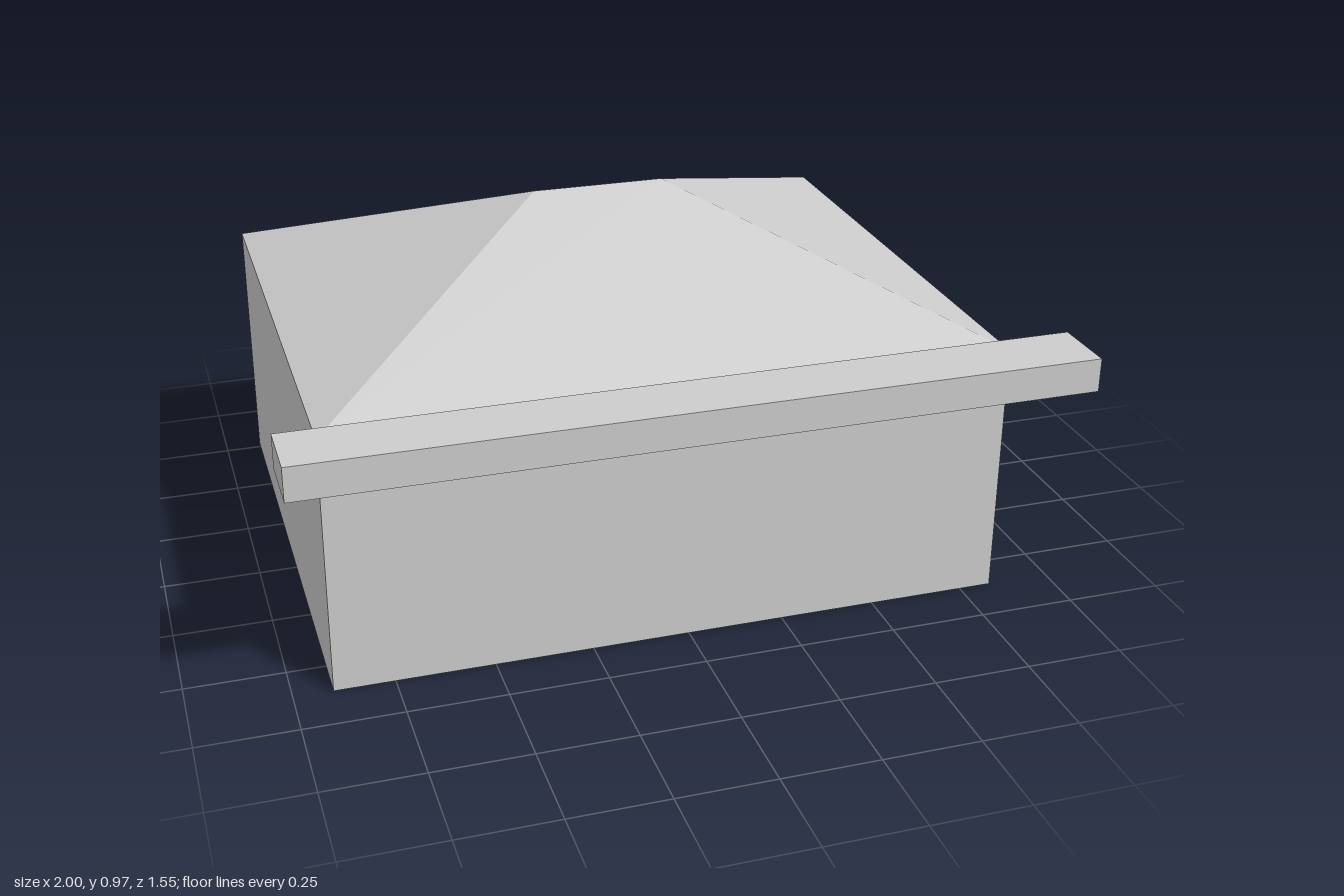
import * as THREE from 'three';

const grey = new THREE.MeshStandardMaterial({ color: 0xcccccc, side: THREE.DoubleSide });
grey.name = 'lightGrey';

// Corners of a level rectangle, counter-clockwise seen from above
const ring = (x0, x1, z0, z1, y) => [[x0, y, z1], [x1, y, z1], [x1, y, z0], [x0, y, z0]];

// Flat-sided shell from a lower to an upper rectangle, open underneath
function shell(name, lower, upper, capped) {
  const points = [];
  const quad = (a, b, c, d) => {
    points.push(...a, ...b, ...c);
    const closed = c.every((v, i) => v === d[i]);
    if (!closed) points.push(...a, ...c, ...d);
  };
  for (let i = 0; i < 4; i++) {
    const j = (i + 1) % 4;
    quad(lower[i], lower[j], upper[j], upper[i]);
  }
  if (capped) quad(...upper);
  const geometry = new THREE.BufferGeometry();
  geometry.setAttribute('position', new THREE.Float32BufferAttribute(points, 3));
  geometry.computeVertexNormals();
  const mesh = new THREE.Mesh(geometry, grey);
  mesh.name = name;
  return mesh;
}

export function createModel() {
  const group = new THREE.Group();
  group.name = 'house';

  const x0 = -0.902, x1 = 0.835, z0 = -0.775, z1 = 0.613;
  const eaves = ring(x0, x1, z0, z1, 0.675);

  // Walls, open at top and bottom
  group.add(shell('walls', ring(x0, x1, z0, z1, 0), eaves, false));

  // Hipped roof rising to a short ridge
  group.add(shell('hippedRoof', eaves, ring(-0.207, 0.14, -0.081, -0.081, 0.967), false));

  // Long canopy across the front, hollow underneath
  group.add(shell('frontCanopy', ring(-1, 1, 0.6, 0.773, 0.61), ring(-1, 1, 0.6, 0.773, 0.698), true));

  return group;
}
